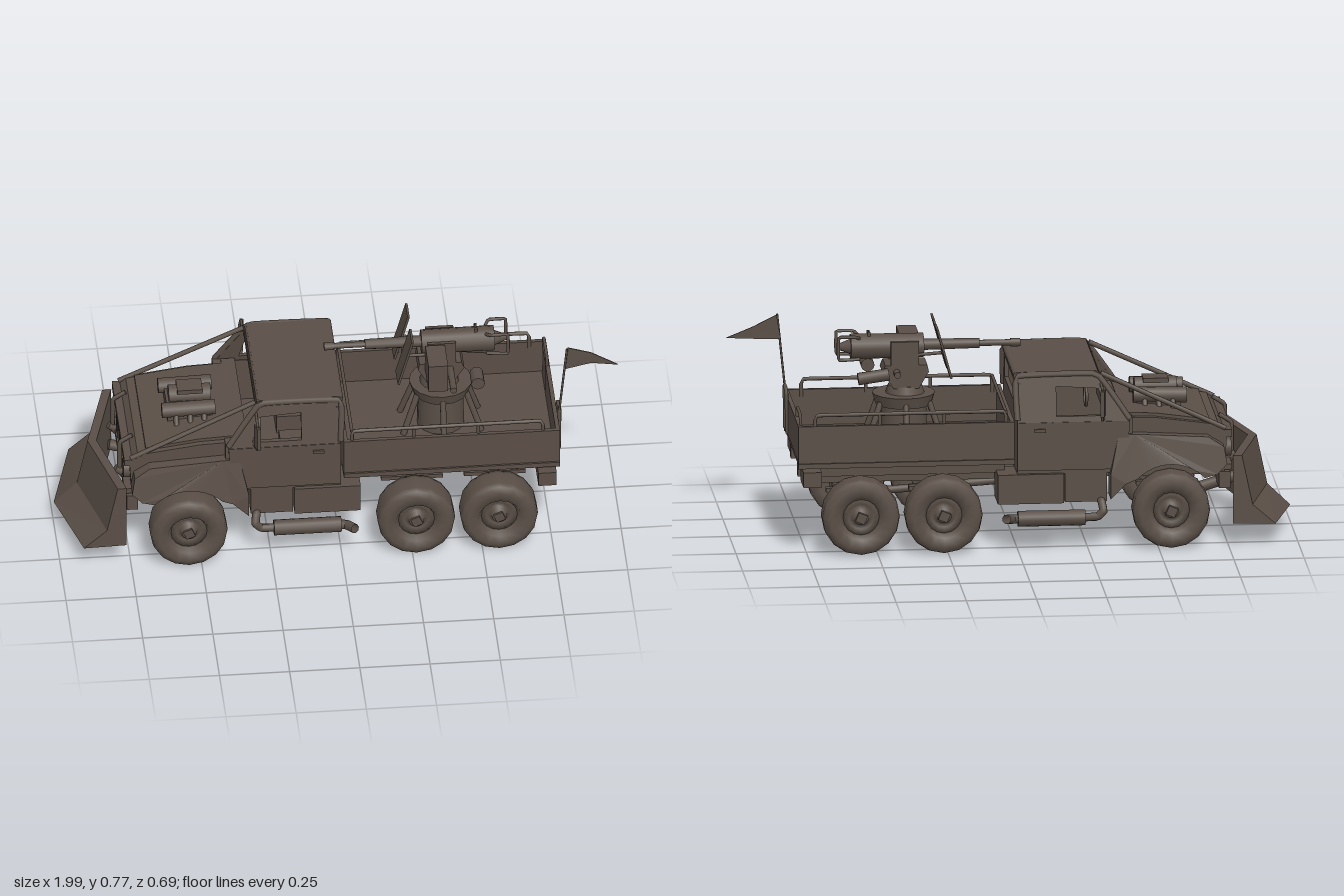
import * as THREE from 'three';

export function createModel() {
  const paint = new THREE.MeshStandardMaterial({ color: 0x5a4f47, side: THREE.DoubleSide });
  paint.name = 'dullBrown';
  const root = new THREE.Group();
  root.name = 'armedTruck';
  const V = (p) => new THREE.Vector3(...p);
  const SIDES = [1, -1];

  const add = (name, geo) => {
    const m = new THREE.Mesh(geo, paint);
    m.name = name;
    root.add(m);
    return m;
  };
  const box = (name, x0, x1, y0, y1, z0, z1) => {
    const m = add(name, new THREE.BoxGeometry(x1 - x0, y1 - y0, Math.abs(z1 - z0)));
    m.position.set((x0 + x1) / 2, (y0 + y1) / 2, (z0 + z1) / 2);
    return m;
  };
  const pair = (name, x0, x1, y0, y1, z0, z1) => SIDES.forEach((s) => box(name, x0, x1, y0, y1, s * z0, s * z1));
  const rod = (name, a, b, r, r2 = r, n = 10) => {
    const d = V(b).sub(V(a));
    const m = add(name, new THREE.CylinderGeometry(r2, r, d.length(), n));
    m.position.copy(V(a)).addScaledVector(d, 0.5);
    m.quaternion.setFromUnitVectors(new THREE.Vector3(0, 1, 0), d.normalize());
    return m;
  };
  const pipe = (name, pts, r) =>
    add(name, new THREE.TubeGeometry(new THREE.CatmullRomCurve3(pts.map(V), false, 'catmullrom', 0.1), pts.length * 6, r, 8));
  const outline = (pts) => new THREE.Shape(pts.map((p) => new THREE.Vector2(...p)));
  // side profile in x and y, extruded from z0 to z1, then moved by a rule
  const slab = (name, shape, z0, z1, rule, steps = 1) => {
    const geo = new THREE.ExtrudeGeometry(shape, { depth: z1 - z0, steps, bevelEnabled: false, curveSegments: 12 });
    geo.translate(0, 0, z0);
    if (rule) {
      const p = geo.attributes.position;
      for (let i = 0; i < p.count; i++) p.setXYZ(i, ...rule(p.getX(i), p.getY(i), p.getZ(i)));
      geo.computeVertexNormals();
    }
    return add(name, geo);
  };
  const sideSlab = (name, shape, zIn, zOut, rule) =>
    SIDES.forEach((s) => slab(name, shape, Math.min(s * zIn, s * zOut), Math.max(s * zIn, s * zOut), (x, y, z) => rule(x, y, z, s)));

  // V-shaped plough blade with its arms
  slab('ploughBlade', outline([[-0.765, 0.082], [-0.765, 0.33], [-0.797, 0.33], [-0.835, 0.15], [-0.917, 0.078]]),
    -0.3, 0.3, (x, y, z) => [x - 0.08 * (1 - Math.abs(z) / 0.3), y - (y < 0.1 ? 0.008 * (1 - Math.abs(z) / 0.3) : 0), z], 2);
  SIDES.forEach((s) => {
    rod('bladeArm', [-0.79, 0.215, s * 0.13], [-0.66, 0.175, s * 0.13], 0.02);
    rod('bladeStrut', [-0.79, 0.3, s * 0.13], [-0.72, 0.25, s * 0.13], 0.014);
  });
  box('frontBumper', -0.76, -0.72, 0.2, 0.26, -0.25, 0.25);

  // bonnet, grille and front wings
  slab('engineBay', outline([[-0.74, 0.25], [-0.38, 0.25], [-0.38, 0.465], [-0.5, 0.46], [-0.72, 0.43], [-0.75, 0.4]]), -0.24, 0.24);
  slab('bonnetPanel', outline([[-0.69, 0.43], [-0.38, 0.46], [-0.38, 0.478], [-0.5, 0.472], [-0.69, 0.445]]), -0.22, 0.22);
  for (let i = 0; i < 7; i++) box('grilleSlat', -0.765, -0.745, 0.29, 0.38, -0.105 + i * 0.033, -0.093 + i * 0.033);
  box('grilleTop', -0.768, -0.74, 0.385, 0.41, -0.24, 0.24);
  box('grilleBase', -0.768, -0.74, 0.265, 0.285, -0.24, 0.24);
  SIDES.forEach((s) => {
    rod('headlight', [-0.74, 0.335, s * 0.18], [-0.768, 0.335, s * 0.18], 0.036, 0.034, 16);
    pipe('grilleGuard', [[-0.75, 0.25, s * 0.13], [-0.775, 0.28, s * 0.13], [-0.775, 0.41, s * 0.13], [-0.73, 0.44, s * 0.13]], 0.008);
  });
  const arch = outline([[-0.665, 0.25], [-0.71, 0.262], [-0.745, 0.3], [-0.735, 0.36], [-0.68, 0.395], [-0.42, 0.41], [-0.36, 0.41], [-0.33, 0.27], [-0.33, 0.18], [-0.385, 0.235], [-0.425, 0.25]]);
  arch.absarc(-0.545, 0.137, 0.165, 0.755, Math.PI - 0.755, false);
  sideSlab('frontWing', arch, 0.22, 0.3, (x, y, z, s) => [x, y, z - s * Math.max(0, y - 0.31) * 0.25]);

  // exposed engine on the bonnet
  box('engineBlock', -0.6, -0.44, 0.45, 0.505, -0.085, 0.085);
  SIDES.forEach((s) => {
    rod('rockerCover', [-0.62, 0.5, s * 0.075], [-0.43, 0.505, s * 0.075], 0.028);
    for (let i = 0; i < 3; i++) rod('exhaustStub', [-0.57 + i * 0.05, 0.49, s * 0.09], [-0.57 + i * 0.05, 0.455, s * 0.115], 0.01);
  });
  rod('blower', [-0.59, 0.515, 0], [-0.44, 0.515, 0], 0.035);
  box('airIntake', -0.56, -0.47, 0.535, 0.552, -0.035, 0.035);

  // cab shell: lower doors, leaning window frames, walls and roof
  const lean = (x, y, z, s) => [x, y, z - s * Math.max(0, y - 0.46) * 0.2];
  sideSlab('door', outline([[-0.39, 0.285], [0, 0.285], [0, 0.46], [-0.4, 0.46]]), 0.255, 0.277, lean);
  const frame = outline([[-0.4, 0.46], [0, 0.46], [0, 0.63], [-0.285, 0.63]]);
  frame.holes.push(outline([[-0.315, 0.48], [-0.29, 0.575], [-0.14, 0.585], [-0.14, 0.48]]));
  sideSlab('windowFrame', frame, 0.258, 0.275, lean);
  pair('doorHandle', -0.1, -0.06, 0.425, 0.437, 0.275, 0.284);
  pair('doorSeam', -0.128, -0.122, 0.3, 0.46, 0.275, 0.28);
  box('cabFloor', -0.39, 0, 0.27, 0.29, -0.265, 0.265);
  box('firewall', -0.41, -0.37, 0.285, 0.47, -0.265, 0.265);
  box('cabRearWall', -0.015, 0, 0.285, 0.505, -0.262, 0.262);
  box('rearWindowHeader', -0.015, 0, 0.582, 0.62, -0.238, 0.238);
  pair('rearWindowPost', -0.015, 0, 0.5, 0.6, 0.222, 0.248);
  box('roof', -0.29, 0, 0.615, 0.636, -0.235, 0.235);
  box('windscreenHeader', -0.3, -0.275, 0.59, 0.62, -0.235, 0.235);
  box('dashboard', -0.38, -0.33, 0.43, 0.475, -0.25, 0.25);
  pair('seat', -0.2, -0.06, 0.29, 0.36, 0.04, 0.2);
  pair('seatBack', -0.07, -0.03, 0.34, 0.49, 0.05, 0.19);
  const wheelRing = add('steeringWheel', new THREE.TorusGeometry(0.04, 0.006, 6, 16));
  wheelRing.position.set(-0.28, 0.46, 0.12);
  wheelRing.rotation.y = Math.PI / 2;
  // roll cage and wing mirrors
  SIDES.forEach((s) => {
    pipe('cageRail', [[0, 0.47, s * 0.272], [0, 0.622, s * 0.238], [-0.285, 0.625, s * 0.238], [-0.4, 0.465, s * 0.268]], 0.011);
    rod('cageBrace', [-0.3, 0.625, s * 0.225], [-0.745, 0.415, s * 0.235], 0.009);
    pipe('mirrorArm', [[-0.31, 0.47, s * 0.265], [-0.3, 0.47, s * 0.3], [-0.3, 0.49, s * 0.31]], 0.005);
    rod('mirrorTopArm', [-0.3, 0.59, s * 0.245], [-0.3, 0.583, s * 0.325], 0.005);
    box('mirror', -0.308, -0.294, 0.49, 0.583, s * 0.302, s * 0.336).rotation.y = s * 0.25;
  });
  for (const x of [0, -0.285]) rod('cageHoop', [x, 0.624, -0.238], [x, 0.624, 0.238], 0.012);

  // cargo bed with side rails
  box('bedFloor', 0.01, 0.775, 0.31, 0.335, -0.27, 0.27);
  pair('bedSide', 0.01, 0.78, 0.315, 0.465, 0.262, 0.277);
  pair('bedSideLip', 0.01, 0.78, 0.312, 0.33, 0.27, 0.284);
  box('bedHeadboard', 0.01, 0.025, 0.32, 0.465, -0.27, 0.27);
  box('tailgate', 0.765, 0.78, 0.335, 0.465, -0.275, 0.275);
  SIDES.forEach((s) => {
    pipe('bedRail', [[0.04, 0.44, s * 0.265], [0.04, 0.495, s * 0.265], [0.06, 0.503, s * 0.265], [0.7, 0.503, s * 0.265], [0.72, 0.495, s * 0.265], [0.72, 0.44, s * 0.265]], 0.007);
    for (const x of [0.26, 0.49]) rod('railPost', [x, 0.45, s * 0.265], [x, 0.5, s * 0.265], 0.006);
  });
  rod('frontBedRail', [0.04, 0.5, -0.265], [0.04, 0.5, 0.265], 0.006);
  pipe('tailBracket', [[0.782, 0.34, 0.13], [0.785, 0.48, 0.13], [0.785, 0.497, 0.15], [0.785, 0.497, 0.2], [0.782, 0.34, 0.21]], 0.007);
  pipe('bedLadder', [[0.77, 0.35, -0.12], [0.77, 0.497, -0.12], [0.77, 0.497, -0.245], [0.77, 0.35, -0.245]], 0.006);

  // chassis, tanks and exhausts
  pair('chassisRail', -0.72, 0.74, 0.225, 0.27, 0.115, 0.14);
  pair('bedBearer', 0.04, 0.76, 0.262, 0.312, 0.17, 0.2);
  for (const x of [-0.35, -0.1, 0.1, 0.41, 0.7]) box('crossMember', x - 0.02, x + 0.02, 0.23, 0.26, -0.13, 0.13);
  pair('rearBumper', 0.7, 0.765, 0.25, 0.305, 0.195, 0.31);
  pair('towPost', 0.74, 0.77, 0.25, 0.33, 0.12, 0.145);
  rod('rearCrossTube', [0.63, 0.205, -0.14], [0.63, 0.205, 0.14], 0.014);
  pair('sideTank', -0.32, -0.17, 0.165, 0.272, 0.15, 0.265);
  pair('sideLocker', -0.165, 0.07, 0.165, 0.272, 0.15, 0.28);
  SIDES.forEach((s) => {
    rod('muffler', [-0.24, 0.113, s * 0.285], [0.0, 0.113, s * 0.285], 0.028, 0.028, 14);
    pipe('exhaustPipe', [[-0.28, 0.19, s * 0.2], [-0.3, 0.165, s * 0.265], [-0.305, 0.135, s * 0.285], [-0.285, 0.115, s * 0.285], [-0.23, 0.113, s * 0.285]], 0.015);
    pipe('exhaustTip', [[-0.01, 0.113, s * 0.285], [0.02, 0.115, s * 0.295], [0.045, 0.125, s * 0.335]], 0.017);
  });
  rod('driveShaft', [-0.2, 0.2, 0], [0.56, 0.15, 0], 0.014);
  box('gearbox', -0.32, -0.16, 0.18, 0.27, -0.05, 0.05);

  // axles and wheels, hollow on the inner side
  const lathe = (pts) => new THREE.LatheGeometry(pts.map((p) => new THREE.Vector2(...p)), 16).rotateX(Math.PI / 2);
  const tyre = lathe([[0.064, 0.235], [0.1, 0.222], [0.132, 0.226], [0.138, 0.25], [0.138, 0.31], [0.133, 0.331], [0.112, 0.341], [0.078, 0.338], [0.064, 0.312]]);
  const rim = lathe([[0.064, 0.235], [0.066, 0.314], [0.045, 0.302], [0.03, 0.302], [0.026, 0.322], [0, 0.324]]);
  for (const x of [-0.545, 0.265, 0.56]) {
    rod('axle', [x, 0.143, -0.3], [x, 0.143, 0.3], 0.021);
    SIDES.forEach((s) => {
      rod('axleCone', [x, 0.148, s * 0.02], [x, 0.145, s * 0.11], 0.043, 0.021, 12);
      box('leafSpring', x - 0.11, x + 0.11, 0.19, 0.205, s * 0.12, s * 0.145);
      box('springClamp', x - 0.018, x + 0.018, 0.11, 0.23, s * 0.112, s * 0.14);
      for (const [name, geo] of [['tyre', tyre], ['wheelRim', rim]]) {
        const w = add(name, geo);
        w.position.set(x, 0.138, 0.003);
        if (s < 0) w.rotation.y = Math.PI;
      }
      box('hubNut', x - 0.017, x + 0.017, 0.121, 0.155, s * 0.318, s * 0.333).rotation.z = 0.4;
    });
    add('differential', new THREE.SphereGeometry(0.043, 14, 10)).position.set(x, 0.148, 0);
  }

  // gun pedestal in the bed
  rod('pedestal', [0.38, 0.33, 0], [0.38, 0.5, 0], 0.085, 0.08, 14);
  rod('turntable', [0.38, 0.475, 0], [0.38, 0.516, 0], 0.1, 0.112, 16);
  for (let i = 0; i < 6; i++) {
    const a = (i + 0.5) * Math.PI / 3, c = Math.cos(a), n = Math.sin(a);
    rod('pedestalLeg', [0.38 + c * 0.16, 0.335, n * 0.14], [0.38 + c * 0.1, 0.49, n * 0.095], 0.011);
  }
  rod('swivel', [0.375, 0.515, 0], [0.375, 0.545, 0], 0.07, 0.06, 14);
  slab('cradle', outline([[0.33, 0.54], [0.42, 0.54], [0.46, 0.6], [0.45, 0.625], [0.3, 0.625], [0.295, 0.6]]), -0.055, 0.055);
  pair('cradleArm', 0.33, 0.43, 0.6, 0.71, 0.042, 0.055);
  rod('crossShaft', [0.41, 0.6, -0.1], [0.41, 0.6, 0.19], 0.012);
  rod('aimMotor', [0.5, 0.595, 0.08], [0.5, 0.595, 0.15], 0.024, 0.024, 12);
  rod('sightTube', [0.44, 0.6, -0.08], [0.55, 0.585, -0.08], 0.022);

  // gun, ammunition box and shield
  rod('gunReceiver', [0.31, 0.685, 0], [0.57, 0.685, 0], 0.043, 0.045, 14);
  rod('breechCap', [0.57, 0.685, 0], [0.615, 0.685, 0], 0.028, 0.01, 8);
  rod('barrelSleeve', [0.32, 0.687, 0], [0.11, 0.687, 0], 0.021, 0.018, 12);
  rod('barrel', [0.12, 0.687, 0], [-0.03, 0.687, 0], 0.011);
  rod('muzzle', [0.0, 0.687, 0], [-0.035, 0.687, 0], 0.015);
  SIDES.forEach((s) => {
    pipe('gunGrip', [[0.54, 0.72, s * 0.025], [0.555, 0.73, s * 0.048], [0.615, 0.73, s * 0.048], [0.615, 0.648, s * 0.048], [0.54, 0.648, s * 0.04]], 0.006);
    box('rearSight', 0.5, 0.51, 0.72, 0.74, s * 0.01, s * 0.017);
  });
  box('ammoBox', 0.32, 0.39, 0.6, 0.71, 0.062, 0.19);
  box('ammoFeed', 0.33, 0.38, 0.66, 0.705, 0.035, 0.07);
  SIDES.forEach((s) => {
    box('gunShield', 0.241, 0.249, 0.585, 0.772, s * 0.035, s * 0.12).rotation.z = -0.27;
    rod('shieldStay', [0.25, 0.67, s * 0.06], [0.34, 0.66, s * 0.045], 0.006);
  });

  // pennant
  pipe('flagPole', [[0.775, 0.35, 0.2], [0.785, 0.5, 0.2], [0.812, 0.76, 0.196]], 0.004);
  slab('flag', outline([[0.8, 0.67], [0.9, 0.678], [0.995, 0.678], [0.9, 0.722], [0.815, 0.76]]), 0.19, 0.194,
    (x, y, z) => [x, y, z - 0.02 * Math.sin((x - 0.8) * 16)]);
  return root;
}
